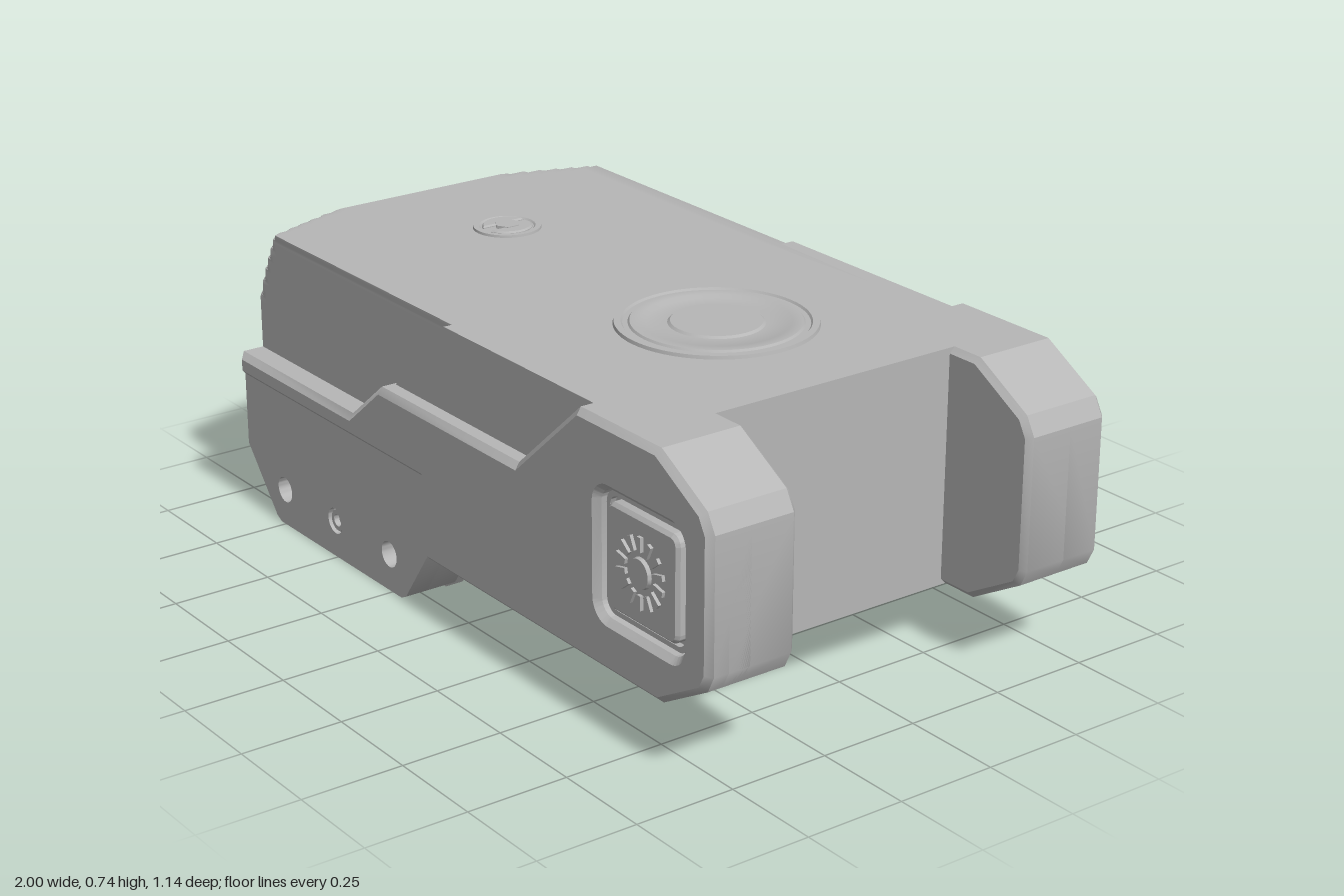
import * as THREE from 'three';
import { toCreasedNormals } from 'three/addons/utils/BufferGeometryUtils.js';

const grey = new THREE.MeshStandardMaterial({ color: 0xb6b6b6 });
grey.name = 'metal grey';

const MID = 0.43;   // height of the round end knob and of the side pads
const BASE = 0.155; // underside of the housing
const TOP = 0.733;

function add(parent, name, geo) {
  const mesh = new THREE.Mesh(toCreasedNormals(geo, 0.5), grey);
  mesh.name = name;
  parent.add(mesh);
  return mesh;
}
const poly = (pts) => new THREE.Shape(pts.map(([x, y]) => new THREE.Vector2(x, y)));
function circle(x, y, r) {
  const p = new THREE.Path();
  p.absarc(x, y, r, 0, Math.PI * 2, true);
  return p;
}
function roundedSquare(cx, cy, h, r) {
  const s = new THREE.Shape(), k = h - r;
  [[1, 1], [-1, 1], [-1, -1], [1, -1]].forEach(([sx, sy], i) =>
    s.absarc(cx + sx * k, cy + sy * k, r, i * Math.PI / 2, (i + 1) * Math.PI / 2, false));
  return s;
}
// Extrude from z0 to z1, keeping the outline size with inward bevels
function slab(shape, z0, z1, bevel = 0) {
  return new THREE.ExtrudeGeometry(shape, {
    depth: z1 - z0 - 2 * bevel, bevelEnabled: bevel > 0, bevelSize: bevel, bevelThickness: bevel,
    bevelOffset: -bevel, bevelSegments: 1, curveSegments: 16,
  }).translate(0, 0, z0 + bevel);
}
const lathe = (pts, n = 48) => new THREE.LatheGeometry(pts.map(([r, y]) => new THREE.Vector2(r, y)), n);

// Central housing: rectangle lofted along x, upper corners cut by an oval cone at the knob end
function housing() {
  const w = 0.485, n = 48, ring = [];
  const edge = (a, b) => {
    for (let i = 0; i < n; i++) ring.push([a[0] + (b[0] - a[0]) * i / n, a[1] + (b[1] - a[1]) * i / n]);
  };
  const c = [[w, BASE], [w, MID], [w, TOP], [-w, TOP], [-w, MID], [-w, BASE]];
  c.forEach((p, i) => edge(p, c[(i + 1) % c.length]));
  const xs = [-0.92, -0.905, -0.89, -0.875, -0.86, -0.845, -0.833, 0.735], pos = [], idx = [];
  const N = ring.length, S = xs.length - 1;
  for (const x of xs) {
    const limit = 1 + 3.34 * (x + 0.92);
    for (const [z, y] of ring) {
      const e = Math.sqrt(3.72 * z * z + 8.25 * (y - MID) ** 2);
      const k = y > MID ? Math.min(1, limit / e) : 1;
      pos.push(x, MID + (y - MID) * k, z * k);
    }
  }
  pos.push(xs[0], MID, 0, xs[S], MID, 0);
  for (let j = 0; j < N; j++) {
    const k = (j + 1) % N, last = S * N;
    for (let s = 0; s < S; s++) {
      const a = s * N + j, b = s * N + k;
      idx.push(a, a + N, b, b, a + N, b + N);
    }
    idx.push(last + N, j, k, last + N + 1, last + k, last + j);
  }
  const g = new THREE.BufferGeometry();
  g.setAttribute('position', new THREE.Float32BufferAttribute(pos, 3));
  g.setIndex(idx);
  g.computeVertexNormals();
  return g;
}

// Lower dovetail lip running along x, its ends following the slanted clamp outline
function dovetailLip() {
  const g = slab(poly([[0.372, 0.005], [0.42, 0.005], [0.42, 0.067], [0.402, 0.067], [0.372, 0.035]]), 0, 1);
  const p = g.attributes.position;
  for (let i = 0; i < p.count; i++) {
    const z = p.getX(i), y = p.getY(i), t = (0.17 - y) / 0.165;
    const left = -0.92 + 0.14 * t, right = -0.08 - 0.12 * t;
    p.setXYZ(i, right + (left - right) * p.getZ(i), y, z);
  }
  g.computeVertexNormals();
  return g;
}

function buildSide(name, boreRadius) {
  const side = new THREE.Group();
  side.name = name;

  // Outer shell, cut away above for the recessed panels, with the pad pocket
  const nose = [[0.82, TOP], [0.975, 0.645], [1, 0.6], [1, 0.28], [0.98, 0.24], [0.83, BASE]];
  const shell = poly([[-0.92, 0.358], [-0.92, 0.417], [-0.4, 0.417], [-0.265, 0.527], [0.3, 0.527],
    [0.535, TOP], ...nose, [-0.08, BASE], [-0.08, 0.35], [-0.088, 0.358]]);
  shell.holes.push(roundedSquare(0.758, MID, 0.15, 0.04));
  add(side, 'sideShell', slab(shell, 0.43, 0.555, 0.015));
  add(side, 'prong', slab(poly([[0.6, BASE], [0.6, TOP], ...nose]), 0.322, 0.515, 0.014));

  // Middle panel, a step above the rear panel formed by the housing wall
  add(side, 'middlePanel', slab(poly([[-0.27, 0.515], [0.31, 0.515], [0.55, TOP], [-0.045, TOP]]), 0.4, 0.507));

  // Button pad with sunburst relief
  const frame = roundedSquare(0.758, MID, 0.145, 0.035);
  frame.holes.push(roundedSquare(0.758, MID, 0.133, 0.028));
  add(side, 'padFrame', slab(frame, 0.5, 0.53));
  add(side, 'buttonPad', slab(roundedSquare(0.758, MID, 0.125, 0.025), 0.5, 0.546, 0.008));
  add(side, 'padCentre', new THREE.CylinderGeometry(0.034, 0.038, 0.016, 32).rotateX(Math.PI / 2)
    .translate(0.758, MID, 0.547));
  for (let i = 0; i < 14; i++) {
    add(side, 'padRay', new THREE.BoxGeometry(0.034, 0.013, 0.012).translate(0.067, 0, 0)
      .rotateZ(i * Math.PI / 7 + Math.PI / 14).translate(0.758, MID, 0.548));
  }

  // Clamp plate with bores, then the dovetail lips
  const outline = [[-0.92, 0.17], [-0.79, 0.015], [-0.77, 0.005], [-0.21, 0.005], [-0.19, 0.015],
    [-0.08, 0.17], [-0.08, 0.35], [-0.088, 0.358], [-0.92, 0.358]];
  for (const [z0, z1, r] of [[0.4, 0.48, 0.033], [0.48, 0.539, boreRadius]]) {
    const plate = poly(outline);
    [-0.745, -0.505, -0.26].forEach((x) => plate.holes.push(circle(x, 0.1, r)));
    add(side, 'clampPlate', slab(plate, z0, z1));
  }
  add(side, 'lowerLip', dovetailLip());
  const upper = new THREE.Shape();
  upper.moveTo(-0.86, 0.1);
  [-0.745, -0.26].forEach((x) => upper.absarc(x, 0.1, 0.033, Math.PI, 0, true));
  [[-0.135, 0.1], [-0.09, 0.16], [-0.91, 0.16]].forEach(([x, y]) => upper.lineTo(x, y));
  add(side, 'upperLip', slab(upper, 0.372, 0.41));

  // Countersunk screw under the prong root
  const screw = add(side, 'undersideScrew', lathe([[0.066, 0], [0.062, 0.007], [0.05, 0.007], [0.046, 0.003], [0, 0.003]], 32));
  screw.rotation.x = Math.PI;
  screw.position.set(0.645, BASE, 0.42);
  for (const a of [0, Math.PI / 2]) {
    add(side, 'screwCross', new THREE.BoxGeometry(0.055, 0.004, 0.012).rotateY(a + 0.6).translate(0.645, 0.151, 0.42));
  }
  return side;
}

// Slotted head facing +z: disc with two raised segments
function slottedHead(parent, name, r, z0, z1, x, y) {
  const g = new THREE.Group();
  g.name = name;
  add(g, 'headBase', new THREE.CylinderGeometry(r, r, z1 - z0 - 0.025, 32).rotateX(Math.PI / 2)
    .translate(0, 0, (z0 + z1 - 0.025) / 2));
  for (const start of [0, Math.PI]) {
    const s = new THREE.Shape();
    s.absarc(0, 0, r, start - 1.3, start + 1.3, false);
    add(g, 'headHalf', slab(s, z1 - 0.026, z1, 0.004));
  }
  g.position.set(x, y, 0);
  parent.add(g);
  return g;
}

export function createModel() {
  const root = new THREE.Group();
  root.name = 'railDevice';
  const body = new THREE.Group();
  body.name = 'body';
  body.position.z = 0.013;
  root.add(body);

  add(body, 'housing', housing());
  const front = buildSide('frontSide', 0.033);
  const back = buildSide('backSide', 0.055);
  back.scale.z = -1;
  body.add(front, back);

  // Front clamp: rod end with a hexagonal socket
  add(front, 'rodEnd', lathe([[0.033, 0], [0.033, 0.09], [0.027, 0.098], [0.016, 0.098], [0.014, 0.085], [0, 0.085]], 24)
    .rotateX(Math.PI / 2).translate(-0.505, 0.1, 0.435));
  // Back clamp: slotted screw, panel screw and small pin
  slottedHead(back, 'clampScrew', 0.055, 0.45, 0.583, -0.505, 0.1);
  add(back, 'panelScrewSeat', lathe([[0.066, 0], [0.066, 0.08], [0.054, 0.08], [0.052, 0.065], [0, 0.065]], 32)
    .rotateX(Math.PI / 2).translate(-0.31, 0.47, 0.455));
  slottedHead(back, 'panelScrew', 0.042, 0.46, 0.535, -0.31, 0.47);
  add(back, 'pinRing', new THREE.TorusGeometry(0.022, 0.005, 8, 24).translate(0.56, 0.62, 0.552));

  // Cross rod with threaded end
  add(body, 'crossRod', new THREE.CylinderGeometry(0.026, 0.026, 0.8, 32).rotateX(Math.PI / 2).translate(-0.505, 0.1, 0));
  const thread = [];
  for (let i = 0; i <= 12; i++) thread.push([i % 2 ? 0.032 : 0.024, 0.3 + i * 0.009]);
  add(body, 'rodThread', lathe(thread, 24).rotateX(Math.PI / 2).translate(-0.505, 0.1, 0));

  // End knob
  const knob = add(body, 'endKnob', lathe([[0.18, 0], [0.18, 0.065], [0.165, 0.08], [0.125, 0.08], [0.12, 0.074],
    [0.06, 0.074], [0.05, 0.066], [0.045, 0.02], [0, 0.02]]));
  knob.rotation.z = Math.PI / 2;
  knob.position.set(-0.92, 0.42, -0.008);

  // Top dial with concentric rings
  add(body, 'topDial', lathe([[0.236, 0], [0.234, 0.008], [0.218, 0.008], [0.214, 0.003], [0.202, 0.003], [0.198, 0.008],
    [0.172, 0.008], [0.16, 0.002], [0.112, 0.002], [0.106, 0.007], [0, 0.007]], 64).translate(0.3, TOP, -0.005));

  // Top adjuster screw
  add(body, 'topScrewRing', lathe([[0.085, 0], [0.084, 0.006], [0.07, 0.006], [0.066, 0.002], [0, 0.002]], 40)
    .translate(-0.55, TOP, -0.01));
  const head = slottedHead(body, 'topScrew', 0.062, -0.03, 0.008, -0.55, TOP);
  head.rotation.x = -Math.PI / 2;
  head.position.z = -0.01;
  add(body, 'topScrewHub', new THREE.CylinderGeometry(0.032, 0.032, 0.012, 6).translate(-0.55, TOP + 0.004, -0.01));

  return root;
}
